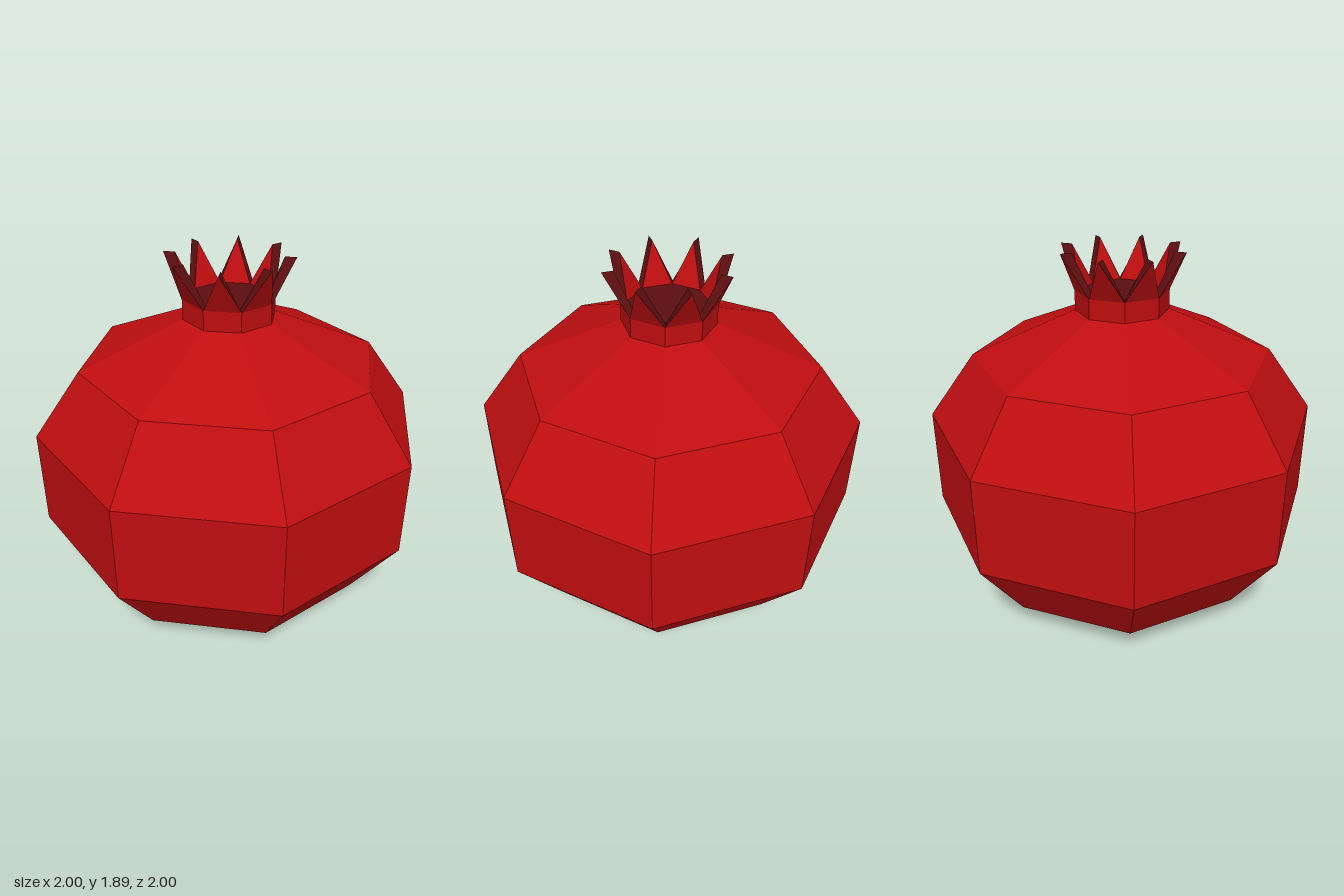
import * as THREE from 'three';

const SIDES = 8;

// Point on a circle round the y axis, measured from +z
const polar = (r, y, a) => [r * Math.sin(a), y, r * Math.cos(a)];

function facetedMesh(name, geometry, material) {
  const mesh = new THREE.Mesh(geometry, material);
  mesh.name = name;
  return mesh;
}

function lathe(points) {
  return new THREE.LatheGeometry(points.map(([r, y]) => new THREE.Vector2(r, y)), SIDES);
}

function fromTriangles(triangles) {
  const geometry = new THREE.BufferGeometry();
  geometry.setAttribute('position', new THREE.Float32BufferAttribute(triangles.flat(2), 3));
  geometry.computeVertexNormals();
  return geometry;
}

export function createModel() {
  const skin = new THREE.MeshStandardMaterial({ name: 'redSkin', color: 0xc00e10, flatShading: true });
  const dark = new THREE.MeshStandardMaterial({ name: 'darkRed', color: 0x5c0e10, flatShading: true });
  const model = new THREE.Group();
  model.name = 'fruit';

  // Body with a shallow dimple underneath
  model.add(facetedMesh('body', lathe([
    [0, 0.06], [0.26, 0.04], [0.76, 0.18], [1, 0.53], [1, 1.035], [0.76, 1.365], [0.235, 1.59],
  ]), skin));

  // Straight collar below the crown
  model.add(facetedMesh('collar', lathe([[0.235, 1.59], [0.235, 1.69]]), skin));

  // Crown: thick pointed teeth leaning outward, with dark cut edges
  const faces = [], edges = [];
  const step = (Math.PI * 2) / SIDES;
  for (let i = 0; i < SIDES; i++) {
    const a = i * step, m = a + step / 2, b = a + step;
    const outA = polar(0.235, 1.69, a), outB = polar(0.235, 1.69, b), outTip = polar(0.32, 1.895, m);
    const inA = polar(0.2, 1.69, a), inB = polar(0.2, 1.69, b), inTip = polar(0.262, 1.895, m);
    faces.push([outA, outB, outTip], [inB, inA, inTip]);
    edges.push([outA, outTip, inTip], [outA, inTip, inA]);
    edges.push([outTip, outB, inB], [outTip, inB, inTip]);
  }
  const crown = new THREE.Group();
  crown.name = 'crown';
  crown.add(facetedMesh('crownTeeth', fromTriangles(faces), skin));
  crown.add(facetedMesh('crownEdges', fromTriangles(edges), dark));

  // Dark floor inside the crown
  const floor = facetedMesh('crownFloor', new THREE.CircleGeometry(0.2, SIDES), dark);
  floor.rotation.x = -Math.PI / 2;
  floor.position.y = 1.69;
  crown.add(floor);
  model.add(crown);

  // Tiny stem stub underneath, slightly tilted
  const stem = facetedMesh('stem', new THREE.CylinderGeometry(0.035, 0.035, 0.06, 6), dark);
  stem.position.y = 0.037;
  stem.rotation.x = 0.15;
  model.add(stem);

  return model;
}
